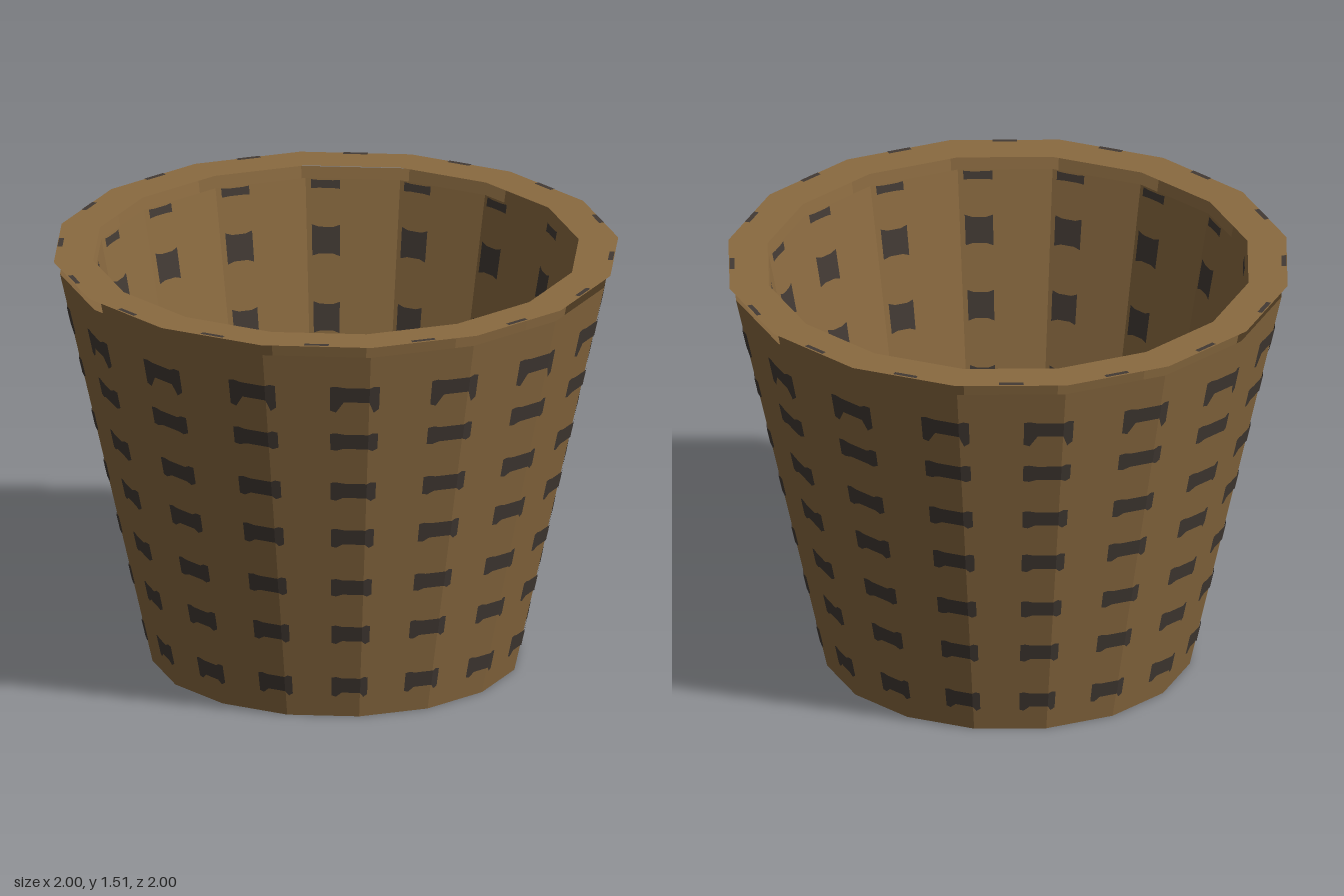
import * as THREE from 'three';
import { mergeGeometries } from 'three/addons/utils/BufferGeometryUtils.js';

const SIDES = 16;
const STEP = 360 / SIDES;
const RIM_Y = 1.51, WALL_TOP = 1.465, FLOOR_Y = 0.17;
const outer = { y0: 0, r0: 0.65, y1: WALL_TOP, r1: 0.978 };
const inner = { y0: FLOOR_Y, r0: 0.61, y1: WALL_TOP, r1: 0.855 };

// Point on a faceted cone at an angle in degrees from +z, pushed out by lift
function onWall(wall, deg, y, lift) {
  const r = wall.r0 + (wall.r1 - wall.r0) * (y - wall.y0) / (wall.y1 - wall.y0);
  const within = ((deg % STEP) + STEP) % STEP - STEP / 2;
  const k = THREE.MathUtils.degToRad(1);
  const d = (r + lift) * Math.cos(STEP / 2 * k) / Math.cos(within * k);
  return [d * Math.sin(deg * k), y, d * Math.cos(deg * k)];
}

// Strip between a lower and an upper edge, each a list of points
function strip(low, high, flip) {
  const pos = [...low, ...high].flat(), index = [], n = low.length;
  for (let i = 0; i < n - 1; i++) {
    const a = i, b = i + 1, c = n + i + 1, d = n + i;
    index.push(...(flip ? [a, c, b, a, d, c] : [a, b, c, a, c, d]));
  }
  const g = new THREE.BufferGeometry();
  g.setAttribute('position', new THREE.Float32BufferAttribute(pos, 3));
  g.setIndex(index);
  g.computeVertexNormals();
  return g;
}

// One row of gaps around a wall; angles are relative to each corner
function gapRow(wall, y, angles, lows, highs, lift) {
  const parts = [];
  for (let s = 0; s < SIDES; s++) {
    const edge = (offsets) =>
      angles.map((a, i) => onWall(wall, s * STEP + a, y + offsets[i], lift));
    parts.push(strip(edge(lows), edge(highs), lift < 0));
  }
  return mergeGeometries(parts);
}

export function createModel() {
  const make = (name, color) => {
    const m = new THREE.MeshStandardMaterial({ color, flatShading: true, side: THREE.DoubleSide });
    m.name = name;
    return m;
  };
  const wicker = make('wicker brown', 0x8a6a40);
  const dark = make('dark gaps', 0x423a34);

  const group = new THREE.Group();
  group.name = 'basket';
  const add = (name, geometry, material) => {
    const mesh = new THREE.Mesh(geometry, material);
    mesh.name = name;
    group.add(mesh);
    return mesh;
  };

  // Sloping walls
  const wallMesh = (name, w) => {
    const h = w.y1 - w.y0;
    const g = new THREE.CylinderGeometry(w.r1, w.r0, h, SIDES, 1, true);
    add(name, g.translate(0, w.y0 + h / 2, 0), wicker);
  };
  wallMesh('outerWall', outer);
  wallMesh('innerWall', inner);

  // Flat rim and raised floor
  add('rim', new THREE.RingGeometry(0.86, 1, SIDES).rotateX(-Math.PI / 2).translate(0, RIM_Y, 0), wicker);
  add('floor', new THREE.CircleGeometry(0.612, SIDES).rotateX(-Math.PI / 2).translate(0, FLOOR_Y, 0), dark);

  // Bow-shaped weave gaps outside, folded over the wall corners
  const angles = [-8.5, -7.2, -5.5, 0, 1, 2.2];
  const highs = [0.032, 0.035, 0.03, 0.03, 0.036, 0.032];
  const rows = [[0.125, 0.045], [0.335, 0.04], [0.525, 0.036], [0.73, 0.042],
    [0.92, 0.04], [1.12, 0.036], [1.31, 0.07]];
  const lowsFor = (leg) => [-leg * 0.9, -leg, -0.028, -0.028, -leg, -leg * 0.8];
  add('outerGaps', mergeGeometries(rows.map(([y, leg]) =>
    gapRow(outer, y, angles, lowsFor(leg), highs, 0.004))), dark);

  // The lowest row shows through beneath the floor
  add('footGaps', gapRow(outer, 0.125, angles, lowsFor(0.045), highs, -0.004), dark);

  // Taller gaps inside, with a thin row under the rim
  const innerAngles = [-8.2, -6.5, -3, -1.2];
  const innerRow = (y, h) => gapRow(inner, y, innerAngles,
    [-h, -h * 0.85, -h * 0.85, -h], [h, h * 0.85, h * 0.85, h], -0.005);
  add('innerGaps', mergeGeometries([
    ...[0.23, 0.44, 0.71, 0.98, 1.25].map((y) => innerRow(y, 0.055)),
    innerRow(1.447, 0.016)]), dark);

  // Small marks on the rim's outer edge
  const rimEdge = { y0: 0, r0: 1, y1: RIM_Y, r1: 1 };
  const marks = [];
  for (let s = 0; s < SIDES; s++) {
    const at = (lift) => [8.7, 13.8].map((a) => onWall(rimEdge, s * STEP + a, RIM_Y + 0.003, lift));
    marks.push(strip(at(-0.002), at(-0.02), false));
  }
  add('rimMarks', mergeGeometries(marks), dark);

  return group;
}
